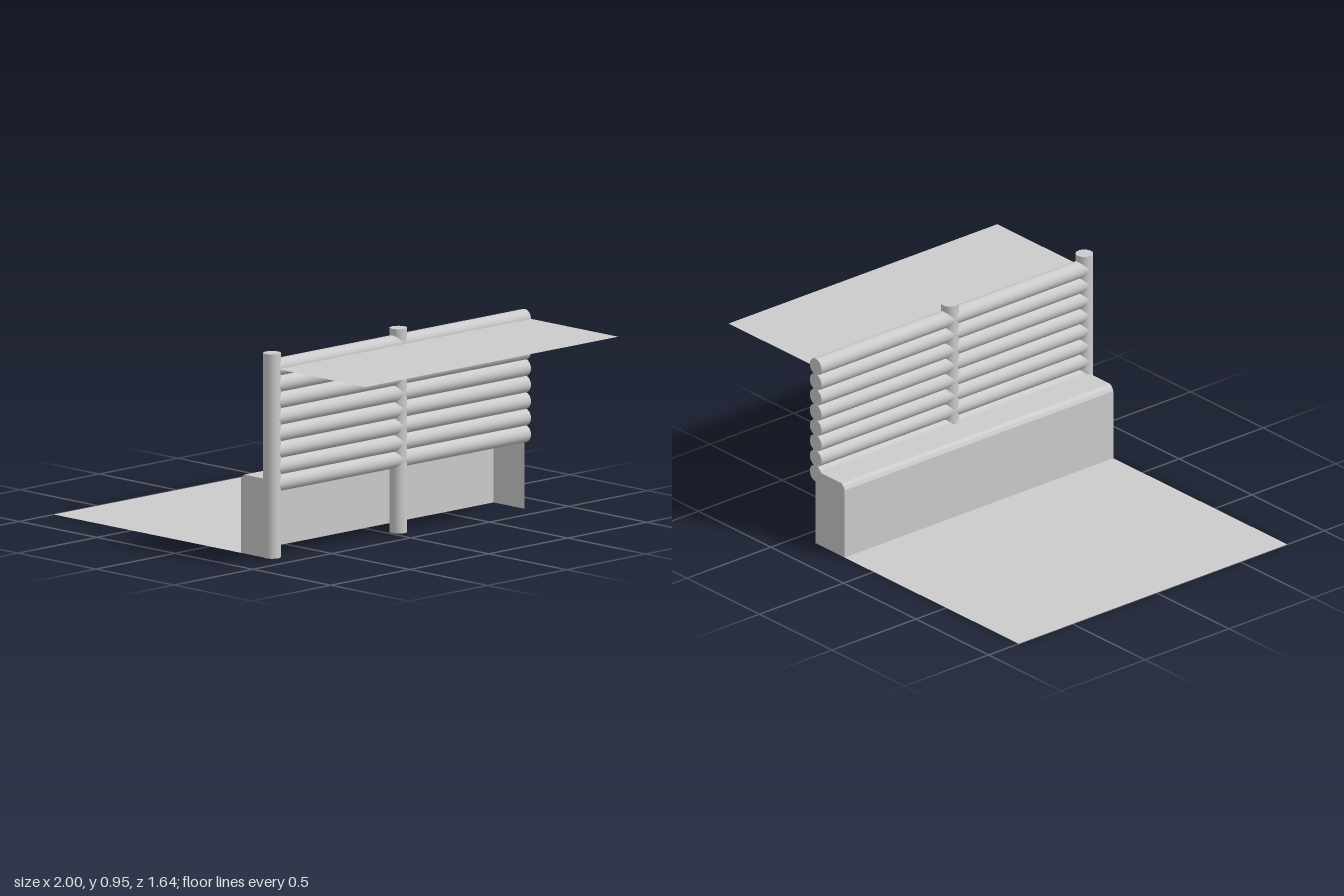
import * as THREE from 'three';

const BACK = -0.82, FRONT = 0.78, LENGTH = FRONT - BACK, MID = (FRONT + BACK) / 2;
const solid = new THREE.MeshStandardMaterial({ color: 0xcccccc });
const thin = new THREE.MeshStandardMaterial({ color: 0xcccccc, side: THREE.DoubleSide });

export function createModel() {
  const model = new THREE.Group();
  const add = (name, geometry, material, x = 0, y = 0, z = 0) => {
    const mesh = new THREE.Mesh(geometry, material);
    mesh.name = name;
    mesh.position.set(x, y, z);
    model.add(mesh);
    return mesh;
  };

  // Horizontal sheets of ground at the two levels
  const sheet = (name, x0, x1, y) => {
    const geometry = new THREE.PlaneGeometry(x1 - x0, LENGTH).rotateX(-Math.PI / 2);
    add(name, geometry, thin, (x0 + x1) / 2, y, MID);
  };
  sheet('lowerGround', -1, 0.2, 0);
  sheet('upperGround', 0.4, 1, 0.88);

  // Upright posts
  const post = new THREE.CylinderGeometry(0.04, 0.04, 0.94, 24);
  add('frontPost', post, solid, 0.4, 0.48, FRONT);
  add('middlePost', post, solid, 0.4, 0.48, -0.02);

  // Stacked horizontal logs
  const log = new THREE.CylinderGeometry(0.04, 0.04, LENGTH, 24).rotateX(Math.PI / 2);
  for (let i = 0; i < 8; i++) add(`log${i + 1}`, log, solid, 0.4, 0.348 + i * 0.076, MID);

  // Hollow step: face, rounded edge and top, open behind and below
  const profile = [[0.2, 0], [0.2, 0.335], [0.208, 0.351], [0.222, 0.363], [0.4, 0.363]];
  for (let i = 0; i < profile.length - 1; i++) {
    const [x0, y0] = profile[i], [x1, y1] = profile[i + 1];
    const panel = new THREE.PlaneGeometry(LENGTH, Math.hypot(x1 - x0, y1 - y0))
      .rotateY(-Math.PI / 2)
      .rotateZ(Math.atan2(y1 - y0, x1 - x0) - Math.PI / 2);
    add(['stepFace', 'stepEdgeLower', 'stepEdgeUpper', 'stepTop'][i], panel, thin,
      (x0 + x1) / 2, (y0 + y1) / 2, MID);
  }

  // End panels of the step
  const outline = [...profile, [0.4, 0]].map(([x, y]) => new THREE.Vector2(x, y));
  const end = new THREE.ShapeGeometry(new THREE.Shape(outline));
  add('stepFrontEnd', end, thin, 0, 0, FRONT);
  add('stepBackEnd', end, thin, 0, 0, BACK);

  return model;
}
